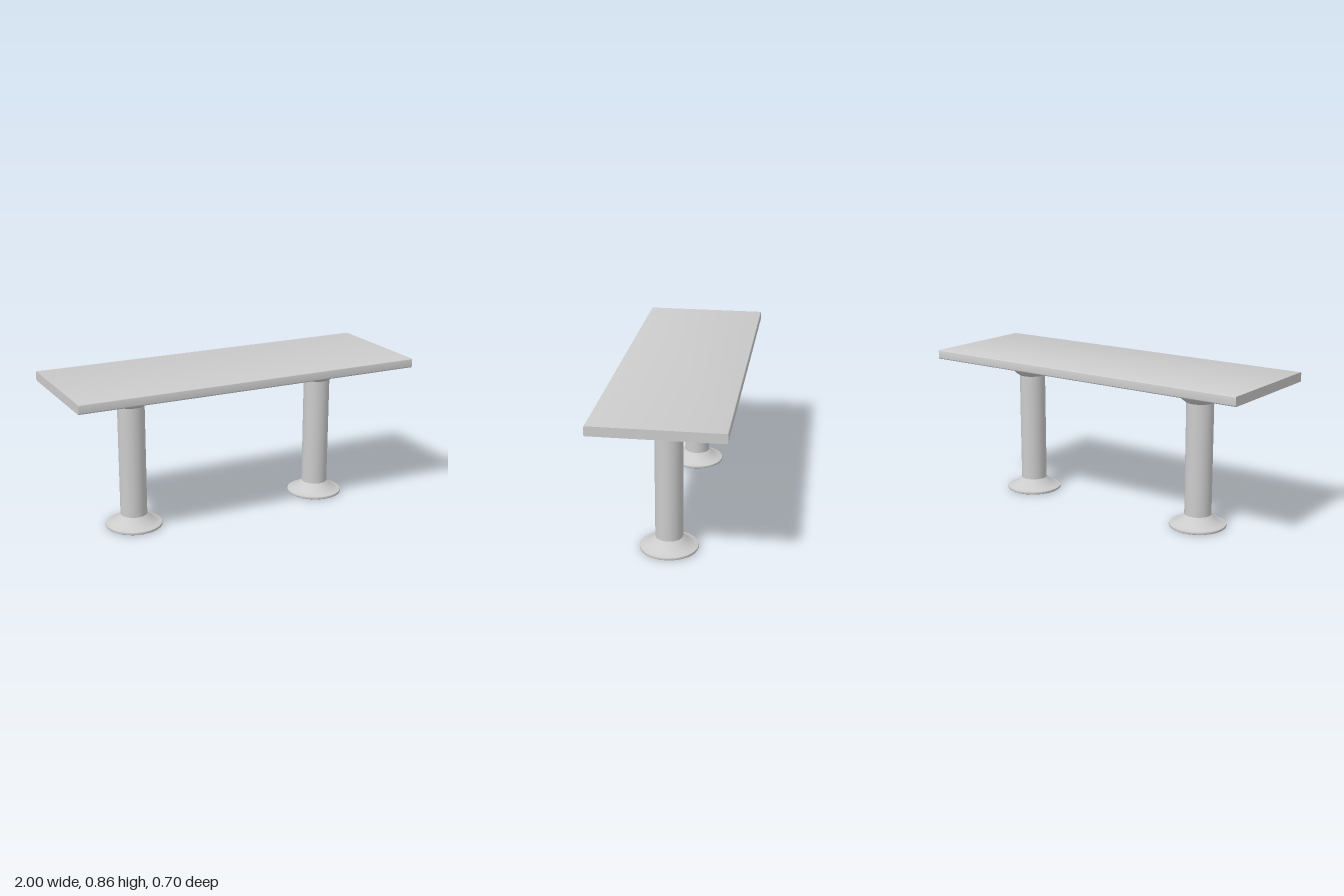
import * as THREE from 'three';
import { toCreasedNormals } from 'three/addons/utils/BufferGeometryUtils.js';

const material = new THREE.MeshStandardMaterial({ color: 0xcccccc });
const SEGMENTS = 32;

function part(name, geometry) {
  const mesh = new THREE.Mesh(toCreasedNormals(geometry, 0.6), material);
  mesh.name = name;
  return mesh;
}

function turned(name, points) {
  return part(name, new THREE.LatheGeometry(points.map(([r, y]) => new THREE.Vector2(r, y)), SEGMENTS));
}

// Slab with rounded long edges and square-cut ends
function createTop() {
  const length = 2, z = 0.35, y0 = 0.803, y1 = 0.855, r = 0.008;
  const s = new THREE.Shape();
  s.moveTo(-z + r, y0);
  s.lineTo(z - r, y0);
  s.quadraticCurveTo(z, y0, z, y0 + r);
  s.lineTo(z, y1 - r);
  s.quadraticCurveTo(z, y1, z - r, y1);
  s.lineTo(-z + r, y1);
  s.quadraticCurveTo(-z, y1, -z, y1 - r);
  s.lineTo(-z, y0 + r);
  s.quadraticCurveTo(-z, y0, -z + r, y0);
  const geometry = new THREE.ExtrudeGeometry(s, { depth: length, bevelEnabled: false, curveSegments: 5 });
  geometry.translate(0, 0, -length / 2).rotateY(Math.PI / 2);
  return part('tableTop', geometry);
}

function createLeg(x) {
  const leg = new THREE.Group();
  leg.name = x > 0 ? 'leftLeg' : 'rightLeg';
  leg.position.x = x;

  // Flared foot with a rounded rim
  const flare = new THREE.SplineCurve([
    [0.158, 0.016], [0.132, 0.025], [0.105, 0.042], [0.075, 0.07],
  ].map(([r, y]) => new THREE.Vector2(r, y))).getPoints(10).map((p) => [p.x, p.y]);
  leg.add(turned('foot', [[0, 0], [0.153, 0], [0.158, 0.003], [0.16, 0.009], ...flare]));

  // Straight column
  const column = new THREE.CylinderGeometry(0.075, 0.075, 0.64, SEGMENTS, 1, true);
  column.translate(0, 0.385, 0);
  leg.add(part('column', column));

  // Bowl-shaped bracket under the slab
  const bowl = new THREE.SplineCurve([
    [0.077, 0.703], [0.102, 0.722], [0.124, 0.749], [0.138, 0.78], [0.1425, 0.804],
  ].map(([r, y]) => new THREE.Vector2(r, y))).getPoints(14).map((p) => [p.x, p.y]);
  leg.add(turned('bracket', [[0, 0.703], ...bowl, [0, 0.804]]));
  return leg;
}

export function createModel() {
  const table = new THREE.Group();
  table.name = 'table';
  table.add(createTop(), createLeg(-0.586), createLeg(0.58));
  return table;
}
